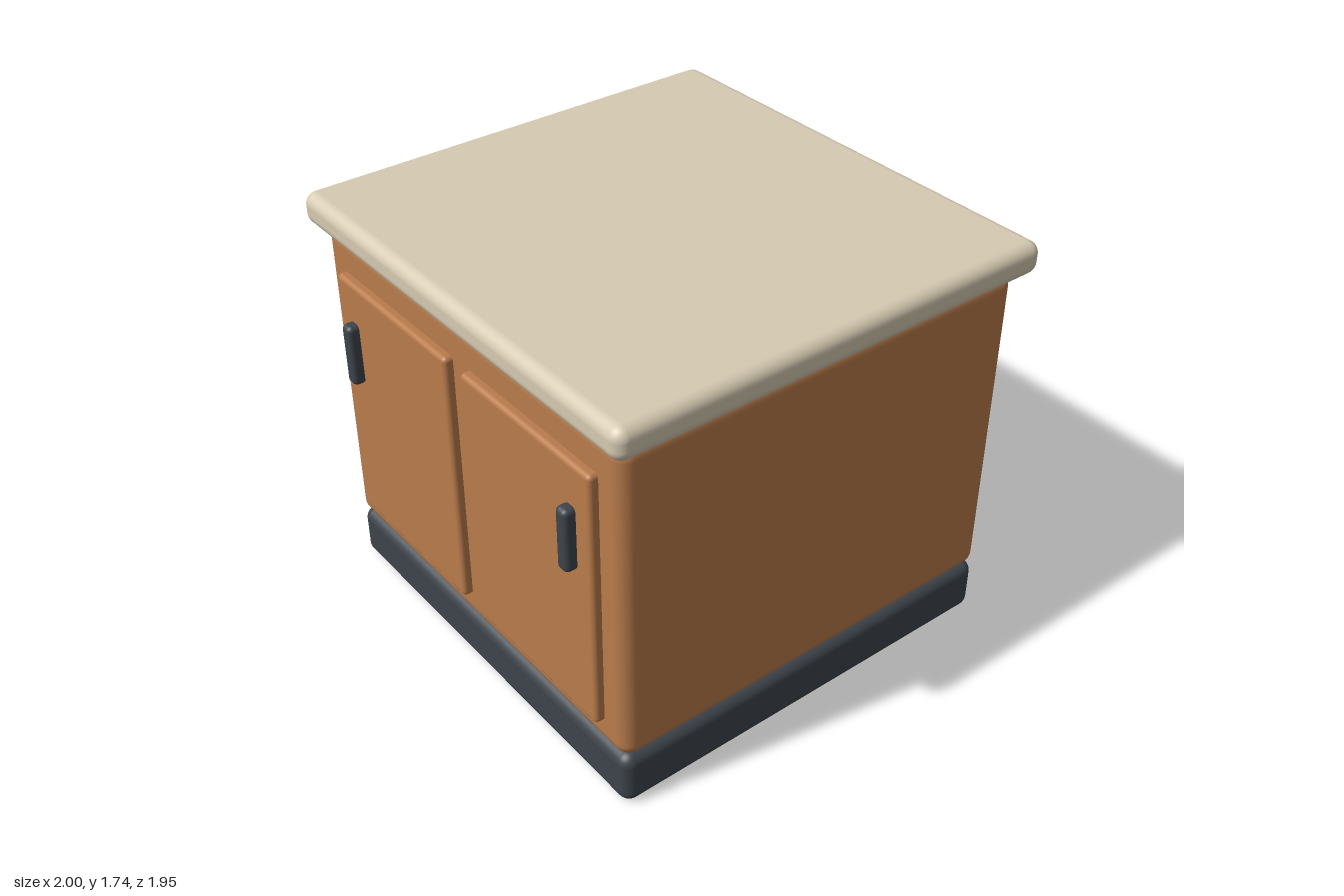
import * as THREE from 'three';
import { RoundedBoxGeometry } from 'three/addons/geometries/RoundedBoxGeometry.js';

const material = (name, color) => {
  const m = new THREE.MeshStandardMaterial({ color });
  m.name = name;
  return m;
};

// Rounded block given by its [min, max] extent on each axis
function block(name, [x0, x1], [y0, y1], [z0, z1], radius, mat) {
  const geometry = new RoundedBoxGeometry(x1 - x0, y1 - y0, z1 - z0, 5, radius);
  const mesh = new THREE.Mesh(geometry, mat);
  mesh.position.set((x0 + x1) / 2, (y0 + y1) / 2, (z0 + z1) / 2);
  mesh.name = name;
  return mesh;
}

export function createModel() {
  const wood = material('warm wood', 0xb87b4b);
  const stone = material('pale stone', 0xd6cab2);
  const dark = material('dark slate', 0x3d444b);

  const cabinet = new THREE.Group();
  cabinet.name = 'cabinet';

  // Plinth, carcass and overhanging worktop
  cabinet.add(
    block('plinth', [-0.94, 0.94], [0, 0.232], [-0.915, 0.89], 0.05, dark),
    block('carcass', [-0.94, 0.94], [0.232, 1.615], [-0.915, 0.89], 0.06, wood),
    block('worktop', [-1, 1], [1.61, 1.743], [-0.975, 0.945], 0.05, stone)
  );

  // Mirrored pair of doors with upright handles near the outer edges
  for (const [side, s] of [['left', 1], ['right', -1]]) {
    const span = (a, b) => (s > 0 ? [a, b] : [-b, -a]);
    cabinet.add(
      block(side + 'Door', span(0.048, 0.817), [0.352, 1.463], [0.87, 0.928], 0.02, wood),
      block(side + 'Handle', span(0.677, 0.739), [1.025, 1.292], [0.915, 0.975], 0.022, dark)
    );
  }
  return cabinet;
}
